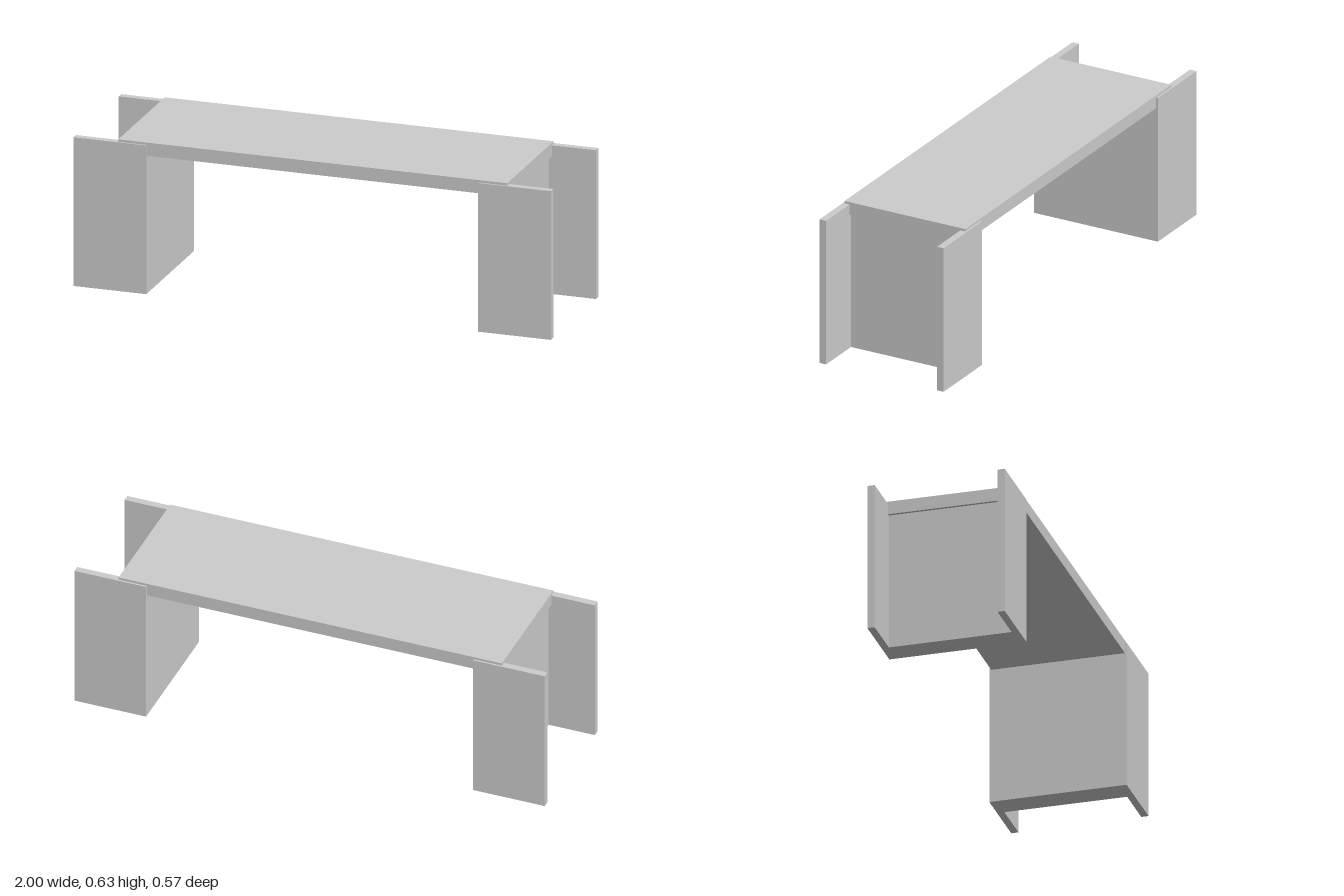
import * as THREE from 'three';

export function createModel() {
  const group = new THREE.Group();
  const material = new THREE.MeshStandardMaterial({ color: 0xcccccc, flatShading: true });

  // Box given by its lower and upper bounds on each axis
  function addBox(name, [x0, x1], [y0, y1], [z0, z1]) {
    const mesh = new THREE.Mesh(new THREE.BoxGeometry(x1 - x0, y1 - y0, z1 - z0), material);
    mesh.position.set((x0 + x1) / 2, (y0 + y1) / 2, (z0 + z1) / 2);
    mesh.name = name;
    group.add(mesh);
  }
  const span = (side, a, b) => (side > 0 ? [a, b] : [-b, -a]);

  // Bench top, standing slightly proud of the leg panels
  addBox('seat', [-0.815, 0.815], [0.575, 0.63], [-0.275, 0.276]);

  for (const sx of [1, -1]) {
    const end = sx > 0 ? 'left' : 'right';
    // Thick cross wall under each end of the seat
    addBox(`${end}LegWall`, span(sx, 0.695, 0.803), [0, 0.6], [-0.255, 0.255]);
    // Upright panels closing the leg at front and back
    for (const sz of [1, -1]) {
      addBox(`${end}${sz > 0 ? 'Front' : 'Back'}Panel`,
        span(sx, 0.695, 1), [0, 0.62], span(sz, 0.253, 0.283));
    }
  }
  return group;
}
